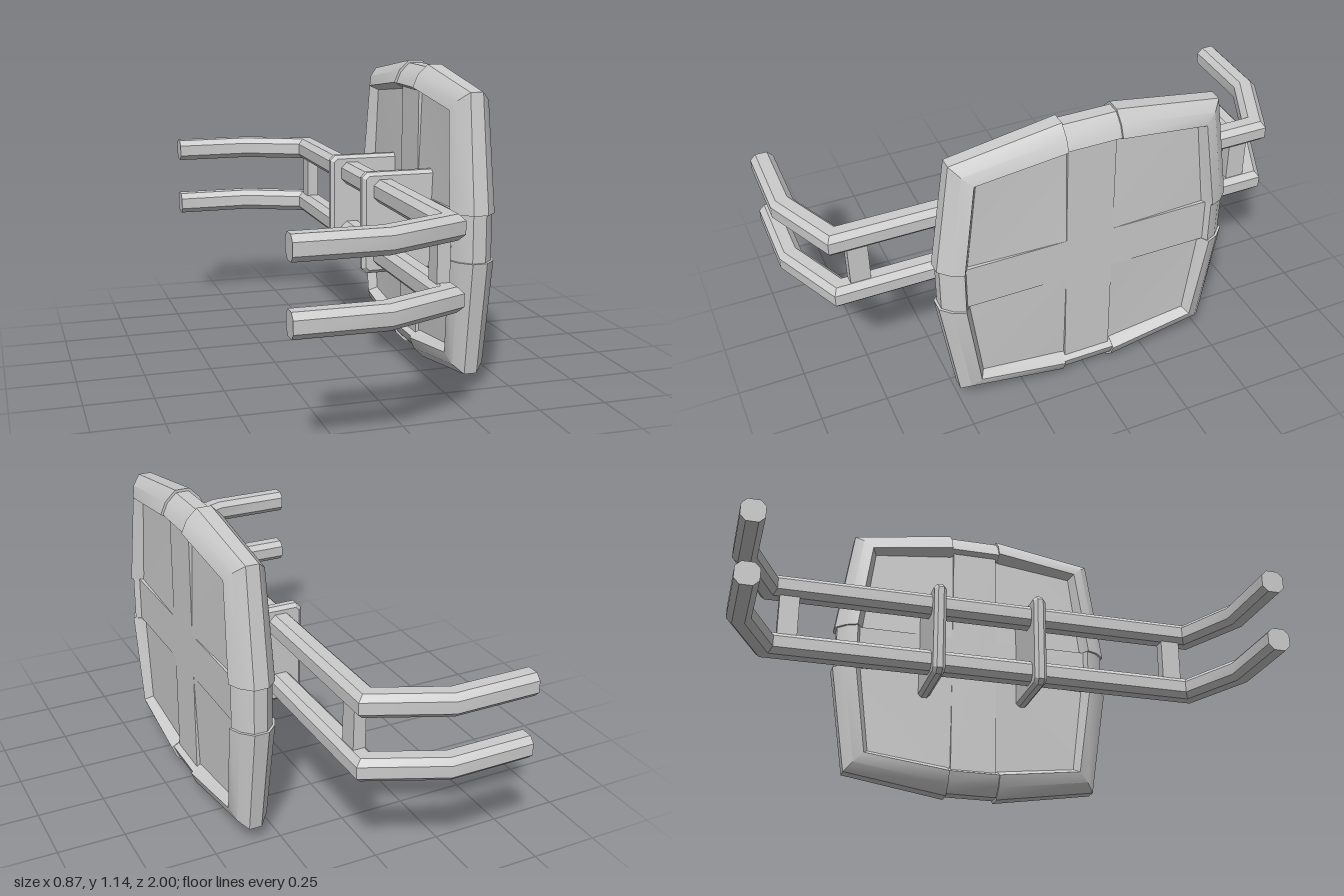
import * as THREE from 'three';
import { toCreasedNormals } from 'three/addons/utils/BufferGeometryUtils.js';

const material = new THREE.MeshStandardMaterial({ color: 0xcccccc });

function addMesh(parent, name, geometry) {
  const mesh = new THREE.Mesh(geometry, material);
  mesh.name = name;
  parent.add(mesh);
  return mesh;
}

// Skin a row of equal-sized cross-sections; either direction may close on itself
function loft(rings, { loop = false, closed = false, caps = false }) {
  const n = rings[0].length, m = rings.length, index = [];
  for (let j = 0; j < (loop ? m : m - 1); j++) {
    for (let i = 0; i < (closed ? n : n - 1); i++) {
      const k = ((j + 1) % m) * n, i2 = (i + 1) % n;
      const a = j * n + i, b = k + i, c = k + i2, d = j * n + i2;
      index.push(a, b, c, a, c, d);
    }
  }
  if (caps) {
    const e = (m - 1) * n;
    for (let i = 1; i < n - 1; i++) index.push(0, i, i + 1, e, e + i + 1, e + i);
  }
  const g = new THREE.BufferGeometry();
  g.setAttribute('position', new THREE.Float32BufferAttribute(rings.flat(2), 3));
  g.setIndex(index);
  return toCreasedNormals(g, 0.5);
}

// Mitred octagonal bar following a path in the xz plane
function barGeometry(path, y) {
  const r = 0.043, c = 0.022;
  const section = [[r, -c], [r, c], [c, r], [-c, r], [-r, c], [-r, -c], [-c, -r], [c, -r]];
  const normal = (p, q) => new THREE.Vector2(p[1] - q[1], q[0] - p[0]).normalize();
  const rings = path.map((p, j) => {
    const before = normal(path[Math.max(j - 1, 0)], path[Math.max(j, 1)]);
    const last = path.length - 1;
    const after = normal(path[Math.min(j, last - 1)], path[Math.min(j + 1, last)]);
    const mitre = before.clone().add(after).divideScalar(1 + before.dot(after));
    return section.map(([u, v]) => [p[0] + mitre.x * u, y + v, p[1] + mitre.y * u]);
  });
  return loft(rings, { closed: true, caps: true });
}

// Rim of the pad: thick lengths at the corners joined by slimmer bands
function rimGeometry() {
  const profile = [[1, 0.04], [0.76, 0.085], [0.35, 0.066], [0, 0.027]];
  const section = [...profile, ...profile.map(([f, x]) => [f, -x]).reverse()];
  // outer z, outer y, inner z, inner y, thickness, for one quarter
  const quarter = [
    [0.553, 0.085, 0.455, 0.085, 0.9],
    [0.563, 0.085, 0.455, 0.085, 1],
    [0.5, 0.505, 0.41, 0.418, 0.88],
    [0.1, 0.568, 0.1, 0.458, 1],
    [0.1, 0.558, 0.1, 0.458, 0.9],
  ];
  const reversed = [...quarter].reverse();
  const flip = (list, sz, sy) =>
    list.map(([z, y, iz, iy, t]) => [z * sz, y * sy, iz * sz, iy * sy, t]);
  const stations = [
    ...quarter, ...flip(reversed, -1, 1), ...flip(quarter, -1, -1), ...flip(reversed, 1, -1),
  ];
  const rings = stations.map(([z, y, iz, iy, t]) =>
    section.map(([f, x]) => [x * t, y + (iy - y) * f, z + (iz - z) * f]));
  return loft(rings, { loop: true });
}

// Sunken quarter panel, rising to meet the cross at its innermost corner
function panelGeometry(sz, sy) {
  const corners = [[0.085, 0.08], [0.48, 0.08], [0.43, 0.44], [0.085, 0.48]];
  const shape = new THREE.Shape(corners.map(([z, y]) => new THREE.Vector2(-z * sz, y * sy)));
  const g = new THREE.ExtrudeGeometry(shape, { depth: 0.084, bevelEnabled: false });
  g.translate(0, 0, -0.042).rotateY(Math.PI / 2);
  const p = g.attributes.position;
  for (let i = 0; i < p.count; i++) {
    if (Math.hypot(p.getY(i), p.getZ(i)) < 0.2) p.setX(i, Math.sign(p.getX(i)) * 0.056);
  }
  return toCreasedNormals(g, 0.3);
}

// Mounting plate with chamfered corners and edges
function plateGeometry() {
  const b = 0.013, c = 0.012;
  const x0 = 0.03 + b, x1 = 0.31, y0 = 0.385 + b, y1 = 0.762 - b;
  const outline = [[x0 + c, y0], [x1, y0], [x1, y1], [x0 + c, y1], [x0, y1 - c], [x0, y0 + c]];
  const shape = new THREE.Shape(outline.map(([x, y]) => new THREE.Vector2(x, y)));
  const g = new THREE.ExtrudeGeometry(shape, {
    depth: 0.022, bevelThickness: b, bevelSize: b, bevelSegments: 1,
  });
  return g.translate(0, 0, -0.011);
}

export function createModel() {
  const model = new THREE.Group();
  model.name = 'paddedBarGuard';

  // Two wrap-around bars
  const half = [[-0.44, 0.957], [-0.135, 0.957], [0.115, 0.845]];
  const path = [...half, ...half.map(([x, z]) => [x, -z]).reverse()];
  addMesh(model, 'upperBar', barGeometry(path, 0.692));
  addMesh(model, 'lowerBar', barGeometry(path, 0.455));

  // Struts between the bars, and plates carrying the pad
  for (const [side, s] of [['left', -1], ['right', 1]]) {
    const strut = addMesh(model, side + 'Strut', new THREE.BoxGeometry(0.045, 0.2, 0.075));
    strut.position.set(0.112, 0.573, s * 0.768);
    addMesh(model, side + 'Plate', plateGeometry()).position.z = s * 0.2;
  }

  // Pad: rim, raised cross and four sunken panels
  const pad = new THREE.Group();
  pad.name = 'pad';
  pad.position.set(0.347, 0.568, 0);
  model.add(pad);
  addMesh(pad, 'rim', rimGeometry());
  addMesh(pad, 'uprightBand', new THREE.BoxGeometry(0.112, 0.98, 0.18));
  addMesh(pad, 'crossBand', new THREE.BoxGeometry(0.112, 0.17, 0.97));
  for (const sz of [-1, 1]) {
    for (const sy of [-1, 1]) addMesh(pad, 'panel', panelGeometry(sz, sy));
  }
  return model;
}
